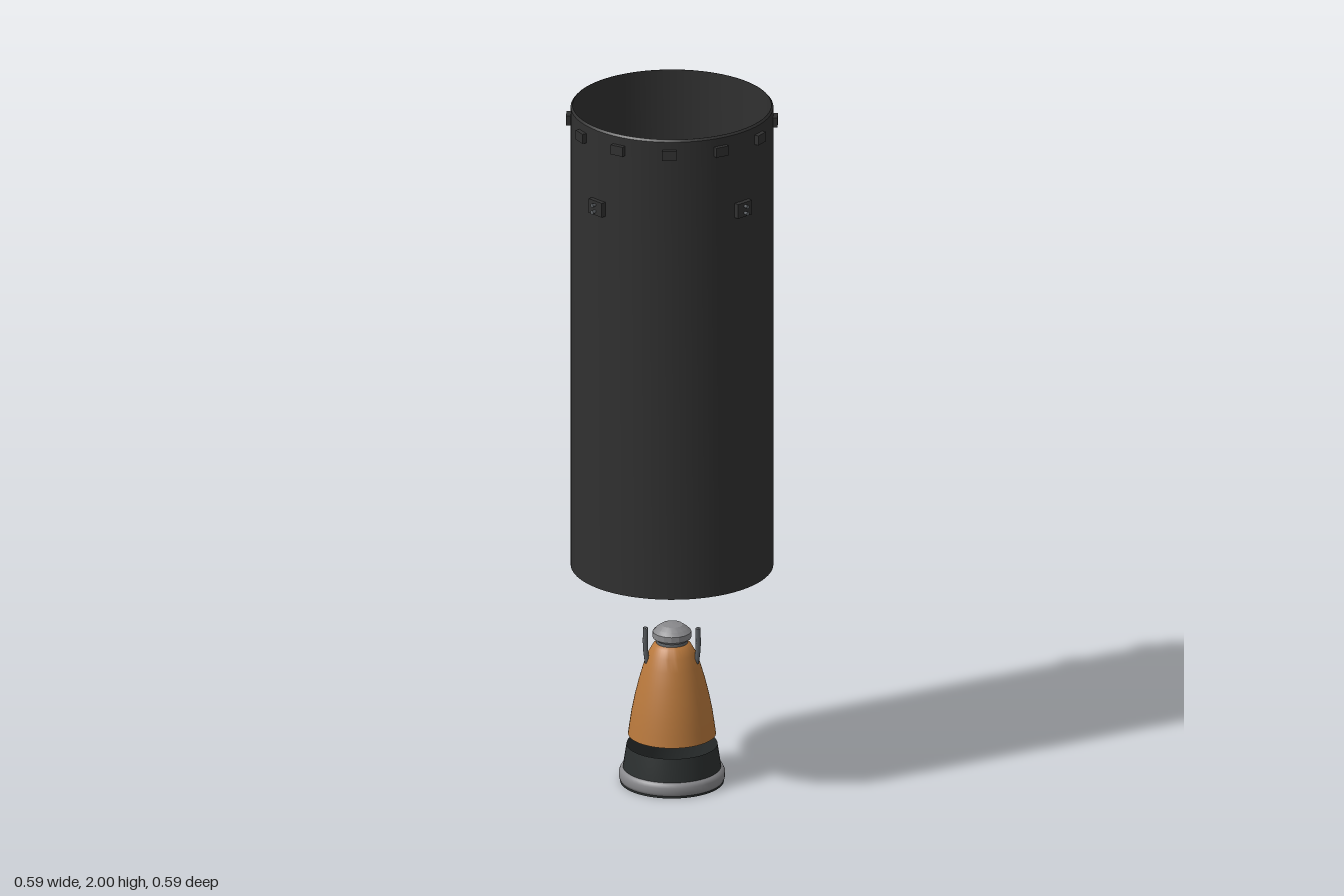
import * as THREE from 'three';
import { toCreasedNormals } from 'three/addons/utils/BufferGeometryUtils.js';

const material = (name, color, side = THREE.FrontSide) => {
  const m = new THREE.MeshStandardMaterial({ color, side });
  m.name = name;
  return m;
};

export function createModel() {
  const model = new THREE.Group();
  const shell = material('charcoal shell', 0x303030, THREE.DoubleSide);
  const bronze = material('bronze bell', 0xb8783c, THREE.DoubleSide);
  const skirtDark = material('dark skirt', 0x2c3030, THREE.DoubleSide);
  const silver = material('silver metal', 0x88888b, THREE.DoubleSide);
  const steel = material('steel pipe', 0x5c6064);

  const add = (parent, name, geometry, mat, x = 0, y = 0, z = 0) => {
    const mesh = new THREE.Mesh(geometry, mat);
    mesh.name = name;
    mesh.position.set(x, y, z);
    parent.add(mesh);
    return mesh;
  };
  const lathe = (points, segments = 48, crease = 0.5) => toCreasedNormals(
    new THREE.LatheGeometry(points.map(p => new THREE.Vector2(...p)), segments), crease);

  // Open body tube with a thin wall and a bevelled top rim
  add(model, 'bodyTube', lathe([
    [0.275, 0.64], [0.281, 0.64], [0.281, 1.994], [0.276, 2], [0.275, 2], [0.275, 0.64],
  ], 64), shell);

  // Bulkhead inside the tube, with a small round port
  add(model, 'bulkhead', new THREE.CylinderGeometry(0.276, 0.276, 0.01, 64), shell, 0, 0.835, 0);
  add(model, 'bulkheadPort', new THREE.CylinderGeometry(0.027, 0.027, 0.012, 10), shell, 0.077, 0.845, 0);

  // Twelve latch blocks around the top rim
  for (let i = 0; i < 12; i++) {
    const pivot = new THREE.Group();
    pivot.name = 'rimLatch';
    pivot.rotation.y = i * Math.PI / 6;
    add(pivot, 'latchBlock', new THREE.BoxGeometry(0.039, 0.028, 0.016), shell, 0, 1.957, 0.285);
    model.add(pivot);
  }

  // Four thruster pods on the diagonals, each with a pair of stub nozzles
  for (let i = 0; i < 4; i++) {
    const pod = new THREE.Group();
    pod.name = 'thrusterPod';
    pod.rotation.y = Math.PI / 4 + i * Math.PI / 2;
    add(pod, 'podBlock', new THREE.BoxGeometry(0.054, 0.042, 0.02), shell, 0, 1.77, 0.284);
    for (const y of [1.76, 1.78]) {
      const nozzle = add(pod, 'podNozzle', new THREE.CylinderGeometry(0.006, 0.004, 0.014, 8), steel, 0, y, 0.299);
      nozzle.rotation.x = Math.PI / 2;
    }
    model.add(pod);
  }

  // Engine bell, open at the bottom
  const engine = new THREE.Group();
  engine.name = 'engine';
  model.add(engine);
  add(engine, 'engineBell', lathe([
    [0.122, 0.14], [0.118, 0.17], [0.112, 0.21], [0.103, 0.255], [0.092, 0.3],
    [0.079, 0.345], [0.066, 0.38], [0.053, 0.403], [0.042, 0.41],
  ]), bronze);

  // Injector head on top of the bell
  add(engine, 'injectorNeck', new THREE.CylinderGeometry(0.042, 0.045, 0.02, 24), steel, 0, 0.412, 0);
  add(engine, 'injectorHead', lathe([
    [0, 0.416], [0.042, 0.416], [0.054, 0.425], [0.054, 0.442], [0.044, 0.452],
    [0.03, 0.462], [0, 0.467],
  ], 16, 0.3), silver);

  // Feed pipes on both sides
  for (const side of [-1, 1]) {
    const path = new THREE.CatmullRomCurve3([
      new THREE.Vector3(side * 0.068, 0.355, 0.02),
      new THREE.Vector3(side * 0.073, 0.40, 0.024),
      new THREE.Vector3(side * 0.073, 0.462, 0.028),
    ]);
    add(engine, 'feedPipe', new THREE.TubeGeometry(path, 8, 0.007, 8), steel);
    const cap = add(engine, 'feedPipeCap', new THREE.CircleGeometry(0.007, 8), steel, side * 0.073, 0.462, 0.028);
    cap.rotation.x = -Math.PI / 2;
  }

  // Detached nozzle skirt with its silver rim
  const skirt = new THREE.Group();
  skirt.name = 'nozzleSkirt';
  model.add(skirt);
  add(skirt, 'skirtWall', lathe([[0.139, 0], [0.136, 0.045], [0.126, 0.11]]), skirtDark);
  add(skirt, 'skirtRim', lathe([
    [0.138, 0.004], [0.144, 0.006], [0.147, 0.014], [0.147, 0.03], [0.143, 0.039], [0.136, 0.043],
  ], 48, 0.9), silver);
  add(skirt, 'skirtFoot', lathe([[0.137, 0], [0.144, 0], [0.144, 0.007]]), skirtDark);

  return model;
}
